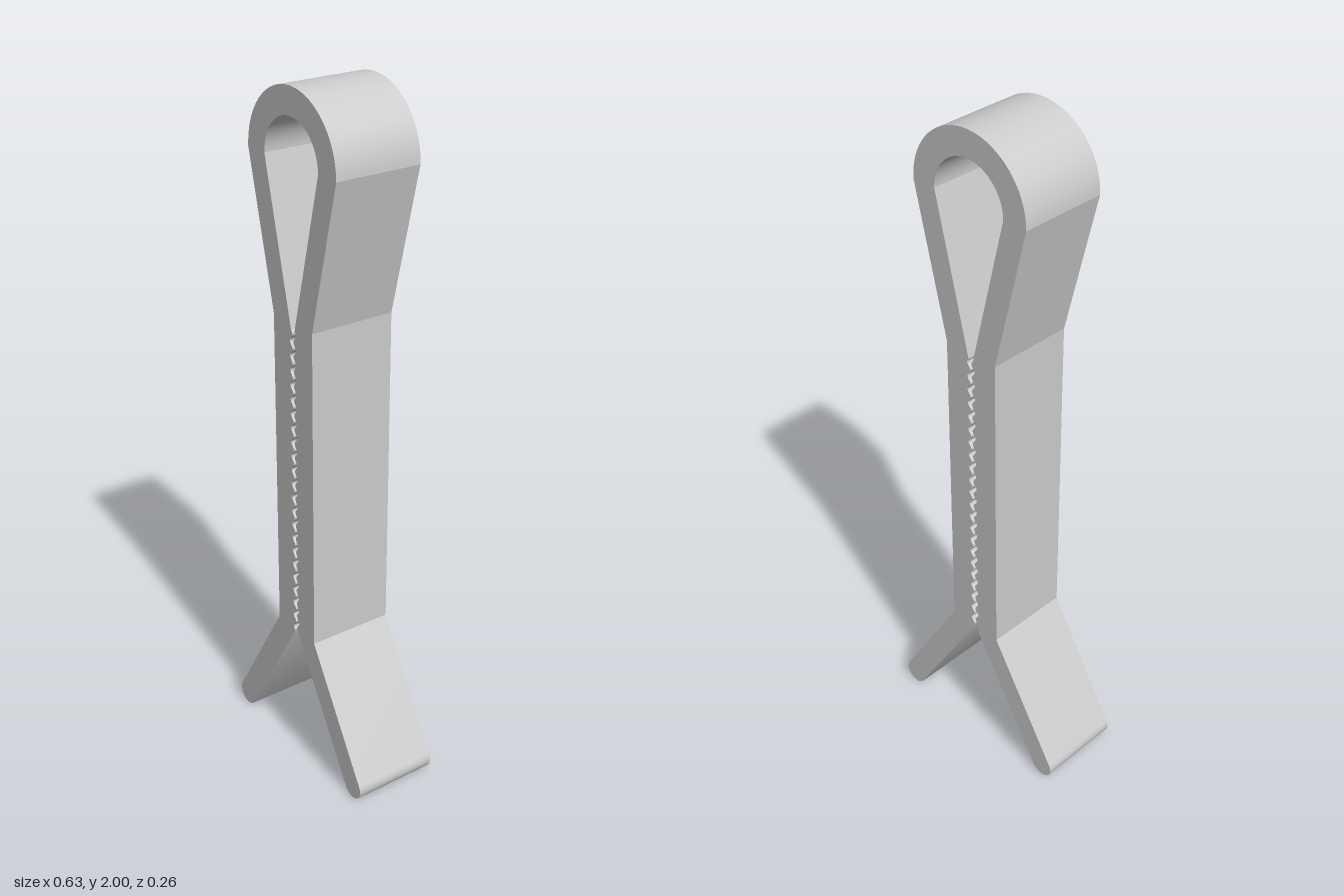
import * as THREE from 'three';
import { toCreasedNormals } from 'three/addons/utils/BufferGeometryUtils.js';

const DEPTH = 0.256;
const LOOP_Y = 1.807, OUTER_R = 0.193, INNER_R = 0.118;
const TIP_X = 0.276, TIP_Y = 0.037, TIP_R = 0.037, TIP_ANGLE = 0.535;
const TEETH = 22, TEETH_TOP = 1.36, TEETH_BOTTOM = 0.42;

// points along a circular arc
function arc(cx, cy, r, from, to, steps) {
  return Array.from({ length: steps + 1 }, (_, i) => {
    const a = from + (to - from) * i / steps;
    return new THREE.Vector2(cx + r * Math.cos(a), cy + r * Math.sin(a));
  });
}

// wavy gripping edge of one jaw, from top to bottom; both jaws share the phase so they mesh
function teeth(side) {
  const steps = TEETH * 8;
  return Array.from({ length: steps + 1 }, (_, i) => {
    const t = i / steps;
    const wave = 0.006 * Math.sin(t * TEETH * Math.PI * 2);
    return new THREE.Vector2(side * 0.008 + wave, THREE.MathUtils.lerp(TEETH_TOP, TEETH_BOTTOM, t));
  });
}

// outer edge from the loop down to the leg, and the rounded leg tip (+x side)
function outerEdge() {
  return [
    new THREE.Vector2(0.088, 1.38),
    new THREE.Vector2(0.088, 0.425),
    ...arc(TIP_X, TIP_Y, TIP_R, TIP_ANGLE, TIP_ANGLE - Math.PI, 24),
  ];
}

const mirror = (points) => points.map((p) => new THREE.Vector2(-p.x, p.y));

export function createModel() {
  const group = new THREE.Group();
  group.name = 'clip';

  // one bent strip: outer loop, right leg, right jaw, inner loop, left jaw, left leg
  const outline = [
    ...arc(0, LOOP_Y, OUTER_R, Math.PI, 0, 36),
    ...outerEdge(),
    new THREE.Vector2(0.014, 0.405),
    ...teeth(1).reverse(),
    new THREE.Vector2(0.014, 1.385),
    ...arc(0, LOOP_Y, INNER_R, 0, Math.PI, 36),
    new THREE.Vector2(-0.014, 1.385),
    ...teeth(-1),
    new THREE.Vector2(-0.014, 0.405),
    ...mirror(outerEdge()).reverse(),
  ];

  const geometry = new THREE.ExtrudeGeometry(new THREE.Shape(outline), {
    depth: DEPTH, bevelEnabled: false,
  });
  geometry.translate(0, 0, -DEPTH / 2);

  const strip = new THREE.Mesh(
    toCreasedNormals(geometry, 0.2),
    new THREE.MeshStandardMaterial({ color: 0xcccccc }),
  );
  strip.name = 'bentStrip';
  group.add(strip);
  return group;
}
